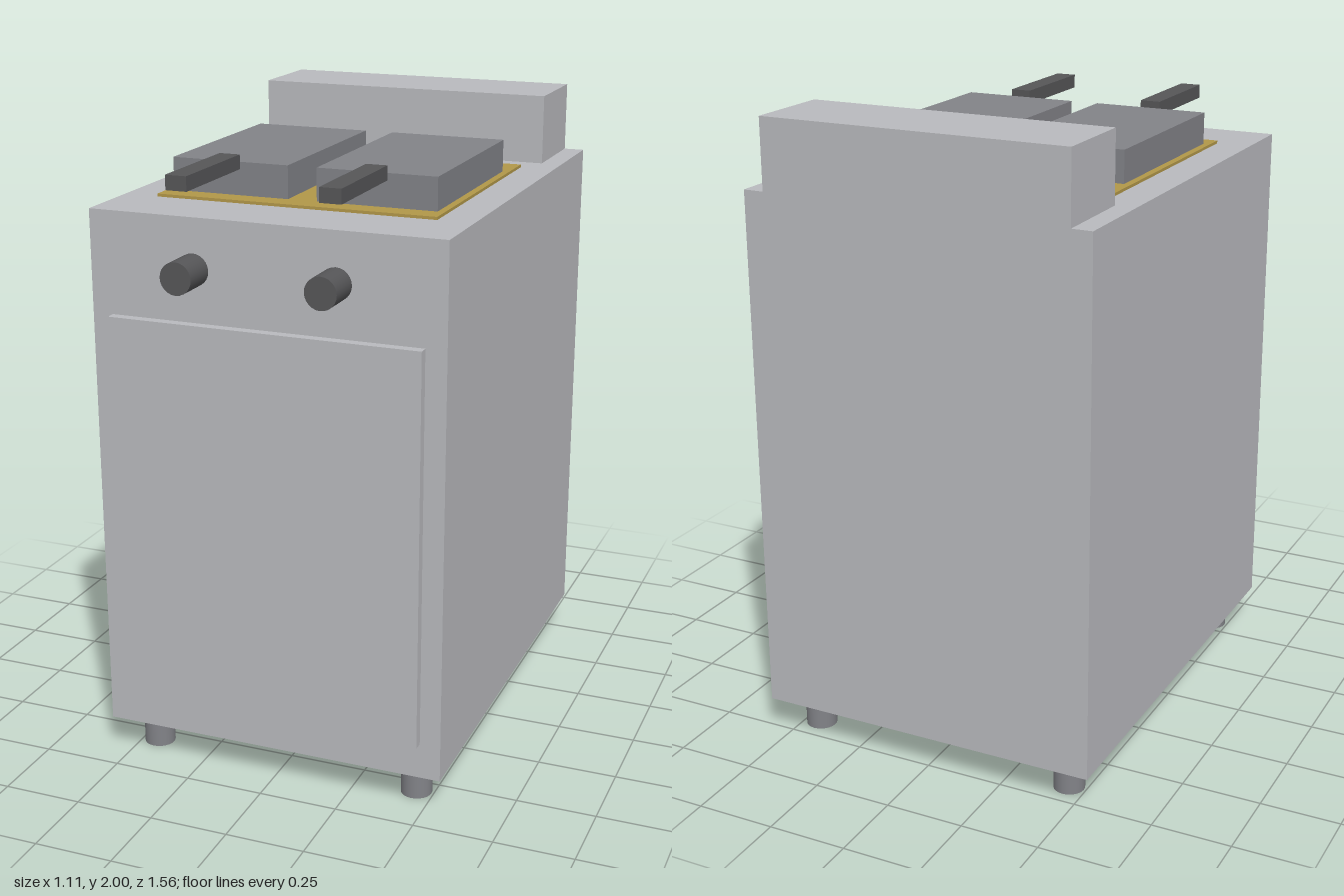
import * as THREE from 'three';

const material = (name, color) => {
  const m = new THREE.MeshStandardMaterial({ color });
  m.name = name;
  return m;
};

export function createModel() {
  const steel = material('brushed steel', 0xb9babe);
  const grey = material('basket grey', 0x828388);
  const dark = material('dark plastic', 0x565658);
  const oil = material('golden oil', 0xb29849);

  const model = new THREE.Group();
  model.name = 'deepFryer';

  const add = (name, geometry, mat, x, y, z) => {
    const mesh = new THREE.Mesh(geometry, mat);
    mesh.name = name;
    mesh.position.set(x, y, z);
    model.add(mesh);
    return mesh;
  };
  // Box given by its minimum and maximum corners
  const box = (name, mat, [x0, y0, z0], [x1, y1, z1]) =>
    add(name, new THREE.BoxGeometry(x1 - x0, y1 - y0, z1 - z0), mat,
      (x0 + x1) / 2, (y0 + y1) / 2, (z0 + z1) / 2);

  // Cabinet
  box('cabinet', steel, [-0.555, 0.115, -0.78], [0.555, 1.78, 0.666]);
  box('backsplash', steel, [-0.49, 1.78, -0.78], [0.49, 2, -0.49]);
  box('door', steel, [-0.49, 0.228, 0.666], [0.49, 1.466, 0.697]);

  // Oil surface
  box('oilSurface', oil, [-0.444, 1.78, -0.4], [0.444, 1.789, 0.444]);

  const legGeometry = new THREE.CylinderGeometry(0.049, 0.049, 0.115, 24);
  const knobGeometry = new THREE.CylinderGeometry(0.049, 0.049, 0.114, 24).rotateX(Math.PI / 2);

  for (const [side, s] of [['left', 1], ['right', -1]]) {
    // Frying baskets with handles
    const cx = s * 0.234;
    box(`${side}Basket`, grey, [cx - 0.188, 1.782, -0.268], [cx + 0.188, 1.89, 0.376]);
    box(`${side}BasketHandle`, dark, [cx - 0.033, 1.868, 0.376], [cx + 0.033, 1.912, 0.734]);

    // Control knobs
    add(`${side}Knob`, knobGeometry, dark, s * 0.222, 1.625, 0.723);

    // Feet
    add(`${side}FrontLeg`, legGeometry, grey, s * 0.444, 0.0575, 0.556);
    add(`${side}BackLeg`, legGeometry, grey, s * 0.444, 0.0575, -0.664);
  }
  return model;
}
